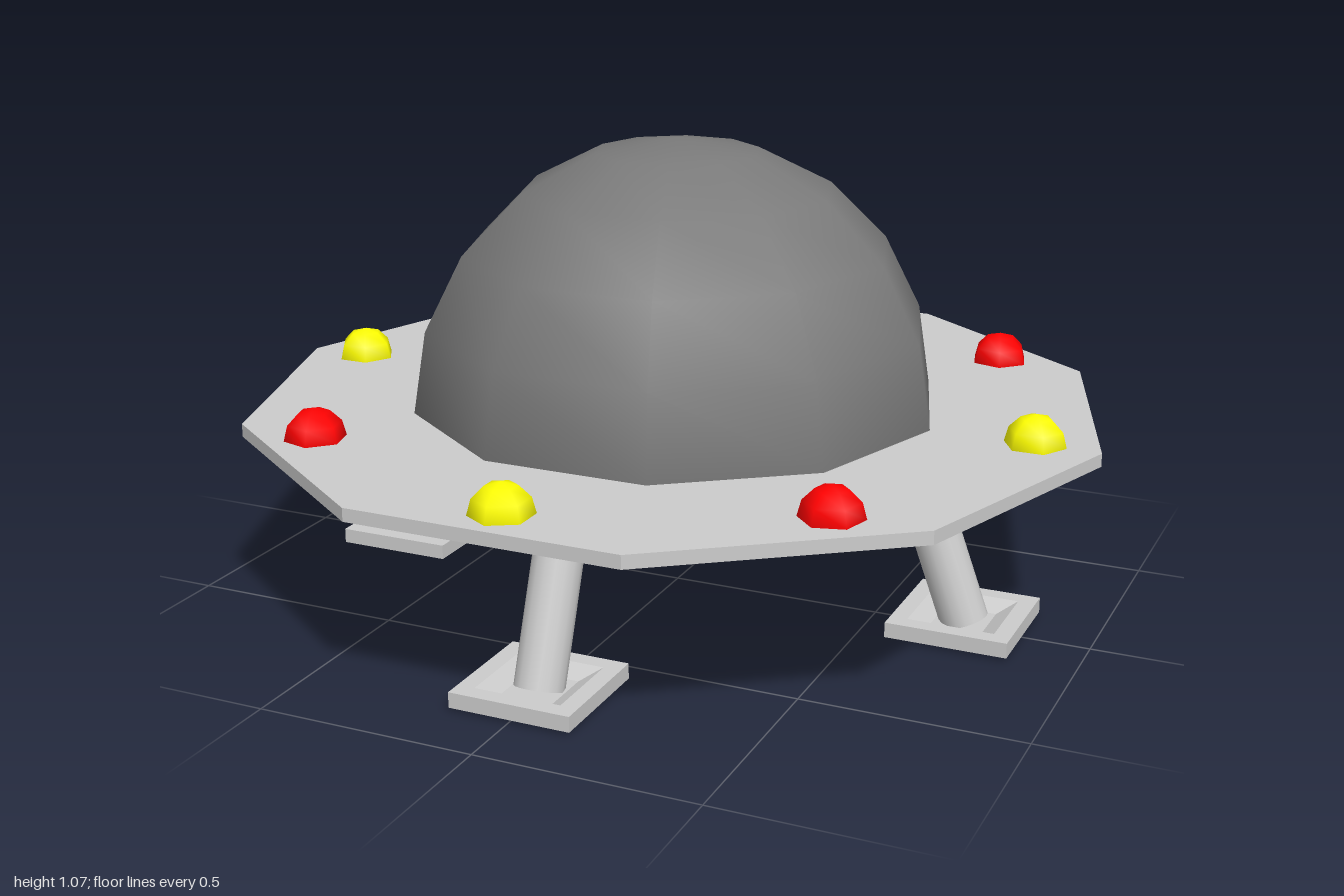
import * as THREE from 'three';

const material = (color, extra = {}) => new THREE.MeshStandardMaterial({ color, ...extra });

function addMesh(parent, name, geometry, mat) {
  const mesh = new THREE.Mesh(geometry, mat);
  mesh.name = name;
  parent.add(mesh);
  return mesh;
}

export function createModel() {
  const model = new THREE.Group();
  model.name = 'flyingSaucer';
  const grey = material(0xcccccc);
  const flatGrey = material(0xcccccc, { flatShading: true });
  const darkGrey = material(0x7a7a7a);
  const yellow = material(0xffff00);
  const red = material(0xff0000);

  // Hull: three stacked ten-sided plates, stepping inward towards the bottom
  const plates = [
    ['upperPlate', 1, 0.42, 0.45],
    ['middlePlate', 0.93, 0.395, 0.42],
    ['lowerPlate', 0.855, 0.37, 0.395],
  ];
  for (const [name, radius, bottom, top] of plates) {
    const geo = new THREE.CylinderGeometry(radius, radius, top - bottom, 10, 1, false, Math.PI / 2);
    addMesh(model, name, geo, flatGrey).position.y = (bottom + top) / 2;
  }

  // Dome: half sphere with ten sides and five rings
  const domeGeo = new THREE.SphereGeometry(0.614, 10, 5, 0, Math.PI * 2, 0, Math.PI / 2);
  addMesh(model, 'dome', domeGeo, darkGrey).position.y = 0.45;

  // Rim lights: eight six-sided half spheres, alternating in colour
  const lightGeo = new THREE.SphereGeometry(0.07, 6, 3, 0, Math.PI * 2, 0, Math.PI / 2);
  for (let i = 0; i < 8; i++) {
    const angle = (i * Math.PI) / 4;
    const isYellow = i % 2 === 0;
    const light = addMesh(model, isYellow ? 'yellowLight' : 'redLight', lightGeo, isYellow ? yellow : red);
    light.position.set(0.853 * Math.cos(angle), 0.45, -0.853 * Math.sin(angle));
    light.rotation.y = angle;
  }

  // Landing gear: four splayed round struts on square feet with a shallow hollow
  const strutTop = new THREE.Vector3(0.577, 0.38, 0);
  const strutFoot = new THREE.Vector3(0.711, 0.012, 0);
  const strutAxis = strutTop.clone().sub(strutFoot);
  const strutGeo = new THREE.CylinderGeometry(0.055, 0.055, strutAxis.length(), 16);

  const footProfile = [[0, 0], [0.14, 0], [0.14, 0.035], [0.1, 0.035], [0.06, 0.012], [0, 0.012]]
    .map(([r, y]) => new THREE.Vector2(r * Math.SQRT2, y));
  const footGeo = new THREE.LatheGeometry(footProfile, 4, Math.PI / 4);

  for (let i = 0; i < 4; i++) {
    const leg = new THREE.Group();
    leg.name = 'landingLeg';
    leg.rotation.y = (i * Math.PI) / 2;
    const strut = addMesh(leg, 'strut', strutGeo, grey);
    strut.position.copy(strutTop).add(strutFoot).multiplyScalar(0.5);
    strut.quaternion.setFromUnitVectors(new THREE.Vector3(0, 1, 0), strutAxis.clone().normalize());
    addMesh(leg, 'foot', footGeo, flatGrey).position.x = 0.708;
    model.add(leg);
  }

  return model;
}
